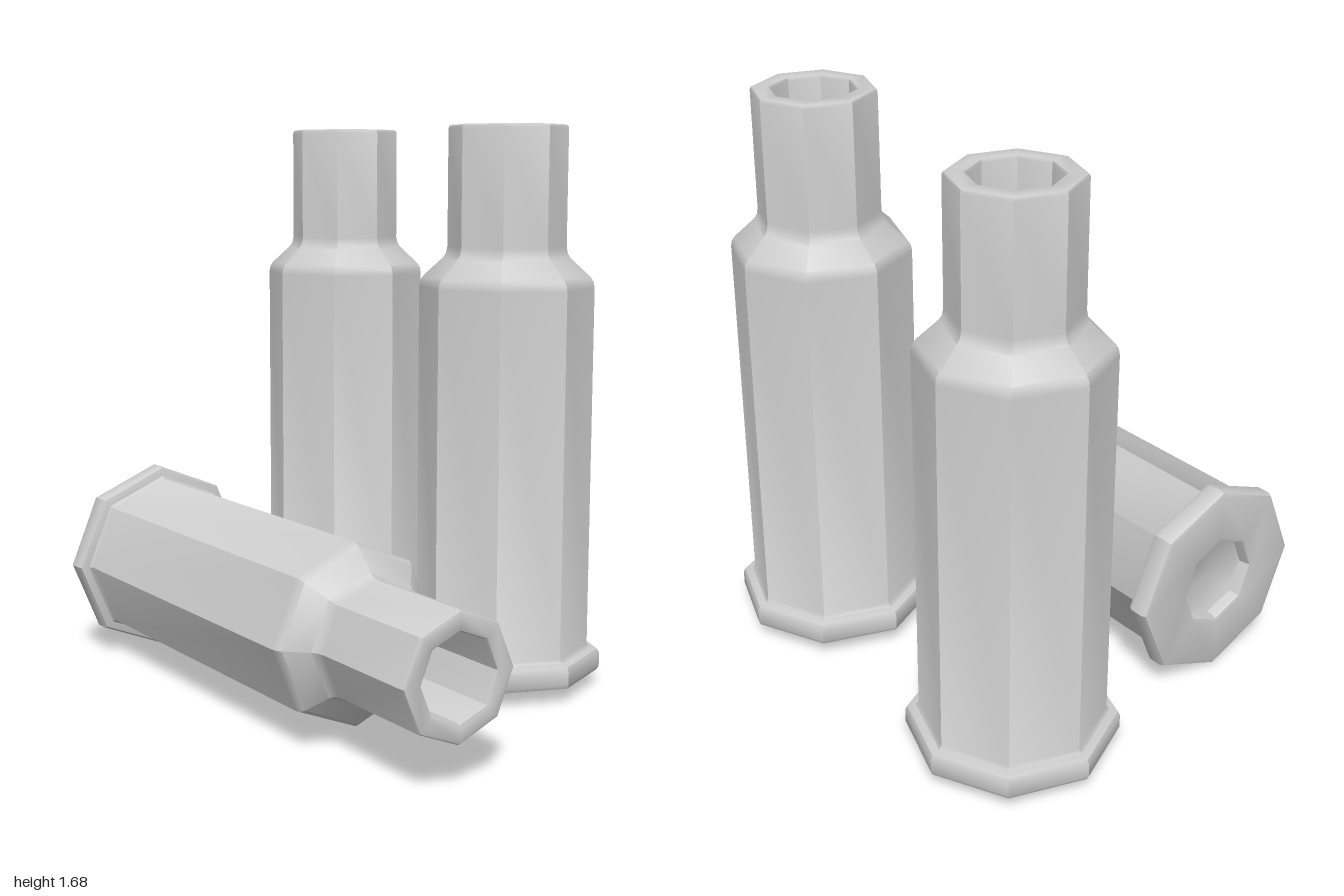
import * as THREE from 'three';
import { toCreasedNormals } from 'three/addons/utils/BufferGeometryUtils.js';

// Eight-sided hollow casing turned around y, standing on y = 0
function casingGeometry(base) {
  const profile = [
    ...base,
    // flange
    [0.28, 0], [0.292, 0.004], [0.298, 0.016], [0.298, 0.056], [0.292, 0.068], [0.28, 0.072],
    [0.268, 0.074], [0.26, 0.085],
    // body and shoulder
    [0.26, 1.165], [0.257, 1.182], [0.248, 1.196],
    [0.19, 1.25], [0.18, 1.264], [0.176, 1.285],
    // neck, rim and bore
    [0.176, 1.63], [0.173, 1.637], [0.166, 1.64],
    [0.13, 1.64], [0.123, 1.637], [0.12, 1.63],
    [0.12, 1.22], [0, 1.22],
  ].map(([r, y]) => new THREE.Vector2(r, y));
  return toCreasedNormals(new THREE.LatheGeometry(profile, 8), 0.62);
}

export function createModel() {
  const group = new THREE.Group();
  const material = new THREE.MeshStandardMaterial({ color: 0xcccccc });
  const flatBase = casingGeometry([[0, 0]]);
  const recessedBase = casingGeometry([
    [0, 0.04], [0.115, 0.04], [0.125, 0.034], [0.13, 0.012], [0.134, 0.003], [0.145, 0],
  ]);

  // Standing casings, flats facing the axes
  [['backStandingCasing', 0.205, -0.725, 0], ['frontStandingCasing', 0.482, 0.1, -0.02]]
    .forEach(([name, x, z, turn]) => {
      const casing = new THREE.Mesh(flatBase, material);
      casing.name = name;
      casing.position.set(x, 0.043, z);
      casing.rotation.y = Math.PI / 8 + turn;
      group.add(casing);
    });

  // Casing lying on its side, mouth towards the front
  const lying = new THREE.Mesh(recessedBase, material);
  lying.name = 'lyingCasing';
  lying.position.set(-0.483, 0.298, -0.603);
  lying.rotation.set(Math.PI / 2, 0.338, 0, 'YXZ');
  group.add(lying);

  return group;
}
